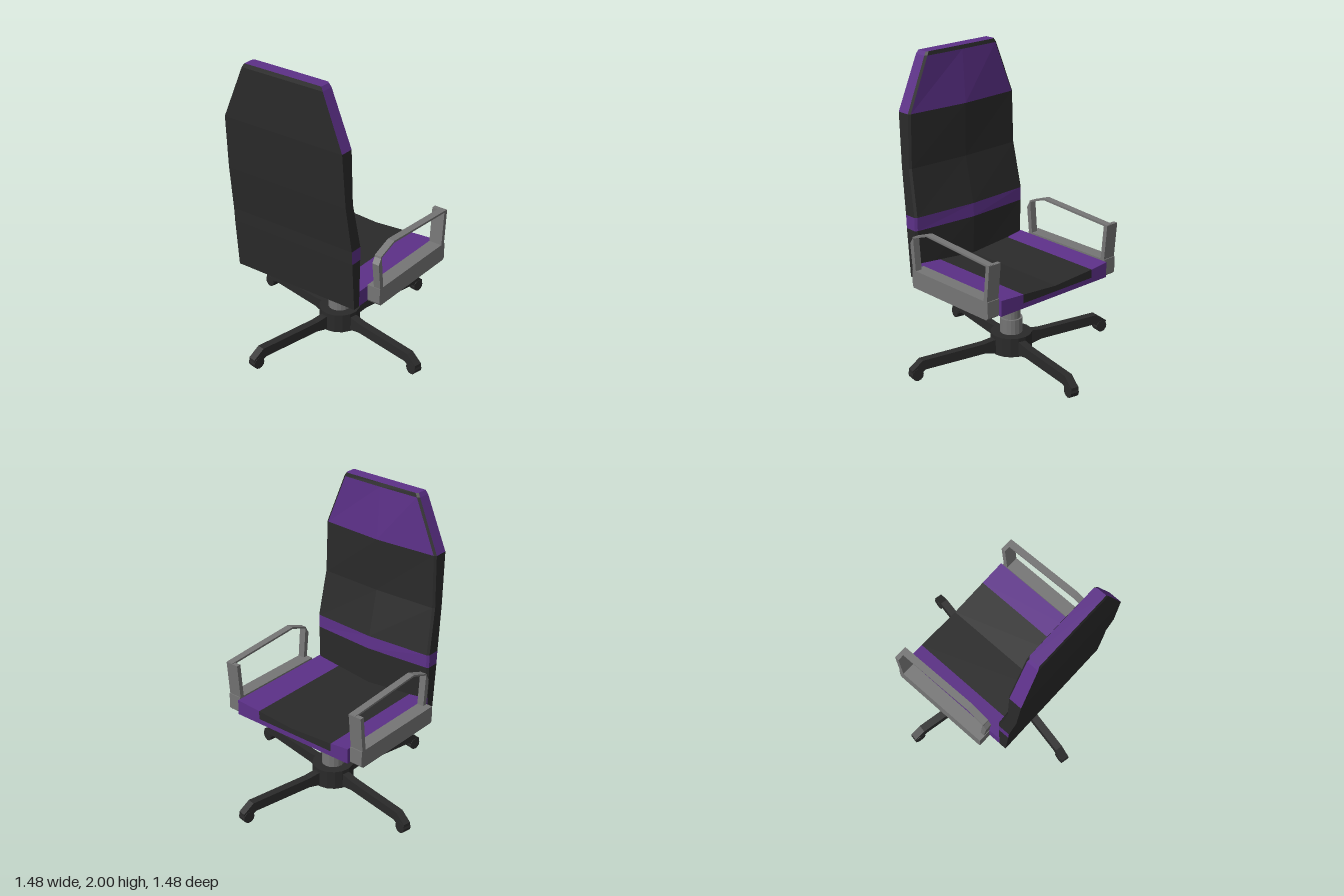
import * as THREE from 'three';

const mat = (color) => new THREE.MeshStandardMaterial({ color, flatShading: true });
const BLACK = mat(0x2a2a2a), PURPLE = mat(0x5c3088), GREY = mat(0x757575);

function add(parent, name, geometry, material) {
  const mesh = new THREE.Mesh(geometry, material);
  mesh.name = name;
  parent.add(mesh);
  return mesh;
}

// Collects flat polygons by material, then makes one mesh per material
function panels(name) {
  const lists = new Map([[BLACK, []], [PURPLE, []]]);
  return {
    face(material, ...p) {
      for (let i = 1; i < p.length - 1; i++) lists.get(material).push(...p[0], ...p[i], ...p[i + 1]);
    },
    build() {
      const group = new THREE.Group();
      group.name = name;
      for (const [material, list] of lists) {
        const g = new THREE.BufferGeometry();
        g.setAttribute('position', new THREE.Float32BufferAttribute(list, 3));
        g.computeVertexNormals();
        add(group, name + (material === BLACK ? 'Black' : 'Purple'), g, material);
      }
      return group;
    },
  };
}

// Side profile (x, y) extruded from z0 over a given depth
function profile(points, z0, depth) {
  const shape = new THREE.Shape(points.map(([x, y]) => new THREE.Vector2(x, y)));
  return new THREE.ExtrudeGeometry(shape, { depth, bevelEnabled: false }).translate(0, 0, z0);
}

function createBackrest() {
  const p = panels('backrest');
  // y, back x, side front x, centre front x, half width
  const levels = [
    [0.54, -0.46, -0.41, -0.37, 0.46], [0.87, -0.485, -0.405, -0.36, 0.463],
    [0.96, -0.49, -0.405, -0.365, 0.463], [1.27, -0.535, -0.465, -0.435, 0.45],
    [1.625, -0.56, -0.47, -0.43, 0.443], [1.975, -0.552, -0.47, -0.455, 0.3],
    [2.0, -0.545, -0.475, -0.462, 0.285],
  ];
  const rings = levels.map(([y, xb, xs, xc, w]) => [
    [xb, y, w], [xs, y, w], [xs + 0.012, y, w - 0.015], [xc, y, 0],
    [xs + 0.012, y, -w + 0.015], [xs, y, -w], [xb, y, -w],
  ]);
  for (let k = 0; k < rings.length - 1; k++) {
    const lo = rings[k], hi = rings[k + 1];
    for (let i = 0; i < 7; i++) {
      const j = (i + 1) % 7;
      const side = i === 0 || i === 5, front = i === 2 || i === 3, bevel = i === 1 || i === 4;
      const purple = (k === 1 && i !== 6) || (k === 4 && (side || front)) || (k === 5 && side);
      p.face(purple && !(bevel && k > 1) ? PURPLE : BLACK, lo[i], lo[j], hi[j], hi[i]);
    }
  }
  p.face(PURPLE, ...rings.at(-1));
  p.face(BLACK, ...rings[0].slice().reverse());
  return p.build();
}

function createSeat() {
  const p = panels('seat');
  const x0 = -0.42, x1 = 0.408, mid = 0.575, low = 0.541;
  const section = [[0.46, 0.645], [0.275, 0.633], [0, 0.613], [-0.324, 0.631], [-0.46, 0.645]];
  for (let i = 0; i < 4; i++) {
    const [za, ya] = section[i], [zb, yb] = section[i + 1];
    const stripe = i === 0 || i === 3 ? PURPLE : BLACK;
    p.face(stripe, [x0, ya, za], [x1, ya, za], [x1, yb, zb], [x0, yb, zb]);
    p.face(stripe, [x1, mid, za], [x1, mid, zb], [x1, yb, zb], [x1, ya, za]);
    p.face(PURPLE, [x1, low, za], [x1, low, zb], [x1, mid, zb], [x1, mid, za]);
    p.face(BLACK, [x0, low, zb], [x0, low, za], [x0, ya, za], [x0, yb, zb]);
    p.face(BLACK, [x0, low, zb], [x1, low, zb], [x1, low, za], [x0, low, za]);
  }
  const z = 0.46, top = 0.645;
  p.face(PURPLE, [x0, low, z], [x1, low, z], [x1, top, z], [x0, top, z]);
  p.face(PURPLE, [x1, low, -z], [x0, low, -z], [x0, top, -z], [x1, top, -z]);
  return p.build();
}

function createArmrest(name, z) {
  const arm = new THREE.Group();
  arm.name = name;
  const base = [[-0.325, 0.55], [-0.315, 0.535], [0.375, 0.535], [0.39, 0.55], [0.39, 0.655], [-0.325, 0.655]];
  const frontPost = [[0.353, 0.65], [0.383, 0.65], [0.405, 0.893], [0.375, 0.893]];
  const backPost = [[-0.32, 0.65], [-0.29, 0.65], [-0.31, 0.88], [-0.34, 0.83]];
  const rail = [[-0.318, 0.868], [-0.18, 0.917], [0.4, 0.882], [0.4, 0.895], [-0.18, 0.93], [-0.315, 0.88]];
  add(arm, 'armBase', profile(base, 0, 0.093), GREY);
  add(arm, 'frontPost', profile(frontPost, 0, 0.093), GREY);
  add(arm, 'backPost', profile(backPost, 0.045, 0.048), GREY);
  add(arm, 'armRail', profile(rail, 0.045, 0.048), GREY);
  arm.position.z = z;
  return arm;
}

function createBase() {
  const base = new THREE.Group();
  base.name = 'base';
  const cylinder = (name, r, y0, y1, material) =>
    add(base, name, new THREE.CylinderGeometry(r, r, y1 - y0, 16).translate(0, (y0 + y1) / 2, 0), material);
  cylinder('hub', 0.137, 0.038, 0.168, BLACK);
  cylinder('lowerColumn', 0.075, 0.168, 0.27, GREY);
  cylinder('middleColumn', 0.061, 0.27, 0.345, GREY);
  cylinder('upperColumn', 0.034, 0.345, 0.545, GREY);

  // Four legs with a caster at each end
  const legSide = [
    [0.08, 0.05], [0.15, 0.05], [0.22, 0.065], [0.65, 0.065], [0.69, 0.04],
    [0.745, 0.055], [0.745, 0.075], [0.67, 0.13], [0.22, 0.133], [0.15, 0.142], [0.08, 0.142],
  ];
  for (let i = 0; i < 4; i++) {
    const leg = new THREE.Group();
    leg.name = 'leg';
    add(leg, 'legBeam', profile(legSide, -0.026, 0.052), BLACK);
    const wheel = new THREE.CylinderGeometry(0.04, 0.04, 0.058, 12).rotateX(Math.PI / 2);
    add(leg, 'caster', wheel.translate(0.708, 0.04, 0), BLACK);
    leg.rotation.y = -0.196 - i * Math.PI / 2;
    base.add(leg);
  }
  return base;
}

export function createModel() {
  const chair = new THREE.Group();
  chair.name = 'officeChair';
  chair.add(
    createBackrest(), createSeat(), createBase(),
    createArmrest('armrestNear', 0.461), createArmrest('armrestFar', -0.556),
  );
  return chair;
}
